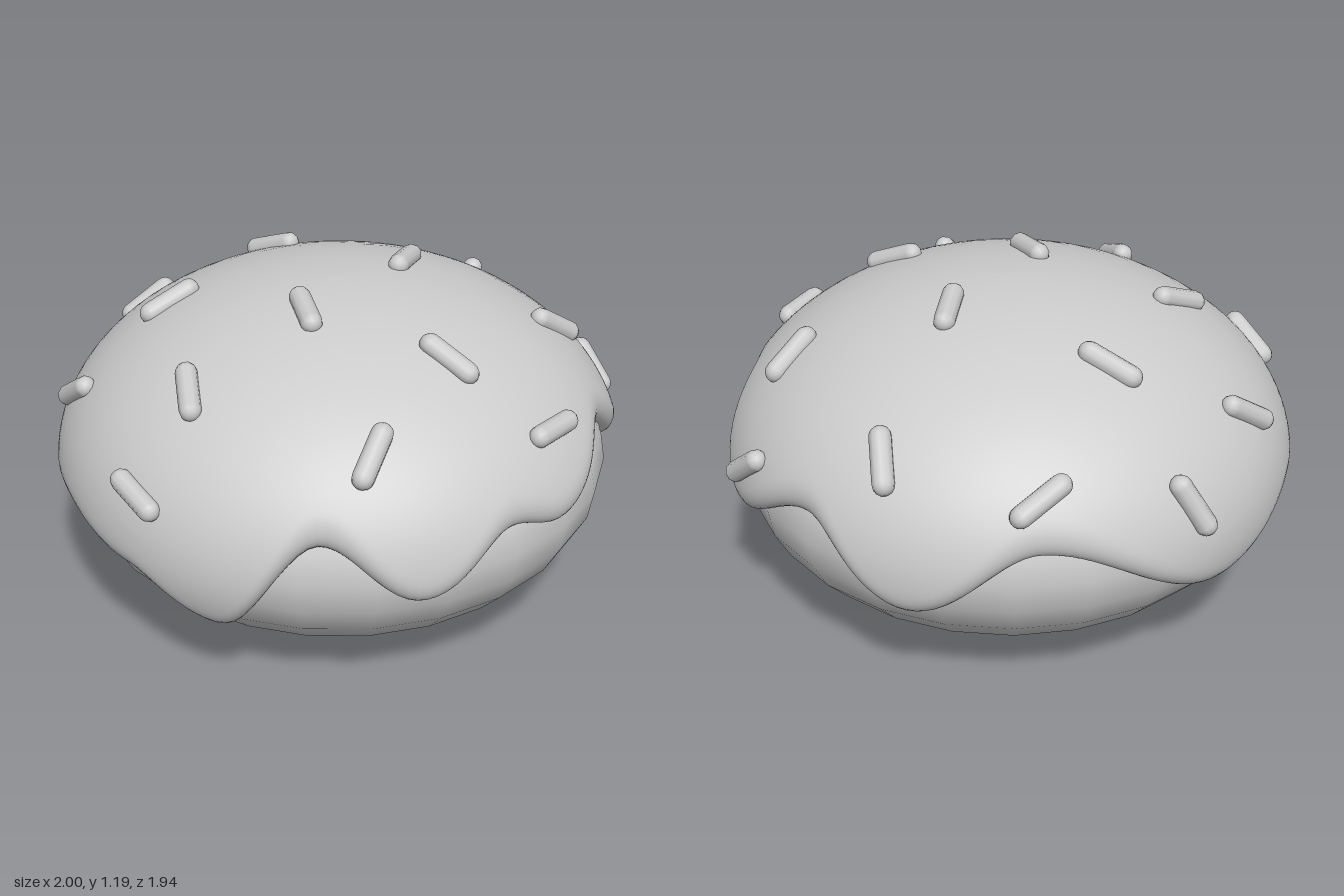
import * as THREE from 'three';

const CENTRE = new THREE.Vector3(-0.013, 0.52, -0.003);
const BODY = { r: 0.93, h: 0.52 };
const ICING = { r: 0.985, h: 0.64 };

// Drip line: [azimuth in degrees from the front towards +x, height of the edge]
const DRIPS = [
  [-32, 0.33], [-11, 0.66], [9, 0.47], [29, 0.63], [42, 0.58], [69, 0.7], [94, 0.47], [120, 0.63],
  [144, 0.41], [170, 0.63], [211, 0.38], [240, 0.49], [265, 0.46], [285, 0.49], [308, 0.45], [328, 0.33],
];

function edgeHeight(deg) {
  const i = DRIPS.findIndex((d) => d[0] > deg);
  const [a, ya] = DRIPS[i - 1];
  const [b, yb] = DRIPS[i];
  const t = (1 - Math.cos((Math.PI * (deg - a)) / (b - a))) / 2;
  return ya + (yb - ya) * t;
}

// Icing: a dome whose rim follows the drip line and rolls over into the body
function icingGeometry() {
  const around = 192, rows = 30, lip = 0.15;
  const positions = [], indices = [];
  for (let i = 0; i < around; i++) {
    const deg = -32 + (360 * i) / around;
    const az = THREE.MathUtils.degToRad(deg);
    const rim = Math.asin((edgeHeight(deg) - CENTRE.y) / BODY.h);
    for (let k = -1; k <= rows; k++) {
      const s = (Math.PI / 2 - rim) * Math.pow(Math.max(k, 0) / rows, 1.7);
      const lat = rim + s;
      // Thickness over the body: tucked under, rounded lip, then full
      const f = k < 0 ? -0.4 : s < lip ? Math.sqrt(1 - (1 - s / lip) ** 2) : 1;
      const h = lat < 0 ? 0.6 : ICING.h;
      const r = THREE.MathUtils.lerp(BODY.r, ICING.r, f) * Math.cos(lat);
      const y = THREE.MathUtils.lerp(BODY.h, h, f) * Math.sin(lat);
      positions.push(r * Math.sin(az), y, r * Math.cos(az));
    }
  }
  const n = rows + 2;
  for (let i = 0; i < around; i++) {
    const next = (i + 1) % around;
    for (let k = 0; k < n - 1; k++) {
      const a = i * n + k, b = next * n + k;
      indices.push(a, b, b + 1);
      if (k < n - 2) indices.push(a, b + 1, a + 1);
    }
  }
  const g = new THREE.BufferGeometry();
  g.setAttribute('position', new THREE.Float32BufferAttribute(positions, 3));
  g.setIndex(indices);
  g.computeVertexNormals();
  return g;
}

// Sprinkles: [x, z, direction x, direction z] seen from above
const SPRINKLES = [
  [-0.35, -0.88, 16, 8], [0.14, -0.87, 21, -5], [-0.65, -0.58, 20, -5], [-0.19, -0.53, 17, 15],
  [0.565, -0.6, -3, 18], [-0.58, -0.12, 21, -8], [0.235, -0.155, -10, 21], [0.93, -0.18, 9, 18],
  [-0.91, 0.01, 9, 16], [0.73, 0.03, 18, -9], [-0.15, 0.215, 3, 22], [-0.545, 0.43, 0.5, 21],
  [0.28, 0.455, 16, 15], [0.6, 0.58, -17, 16], [-0.73, 0.6, 12, 19], [-0.01, 0.78, -11, 16],
];

export function createModel() {
  const model = new THREE.Group();
  const material = new THREE.MeshStandardMaterial({ color: 0xcccccc });

  // Bun under the icing
  const bun = new THREE.Mesh(new THREE.SphereGeometry(1, 24, 16), material);
  bun.name = 'bun';
  bun.scale.set(BODY.r, BODY.h, BODY.r);
  bun.position.copy(CENTRE);
  model.add(bun);

  const icing = new THREE.Mesh(icingGeometry(), new THREE.MeshStandardMaterial({ color: 0xcccccc, side: THREE.DoubleSide }));
  icing.name = 'icing';
  icing.position.copy(CENTRE);
  model.add(icing);

  // Each sprinkle lies in the plane touching the icing
  const sprinkles = new THREE.Group();
  sprinkles.name = 'sprinkles';
  const capsule = new THREE.CapsuleGeometry(0.037, 0.155, 4, 10);
  const up = new THREE.Vector3(0, 1, 0);
  SPRINKLES.forEach(([x, z, dx, dz], i) => {
    const px = x - CENTRE.x, pz = z - CENTRE.z;
    const py = ICING.h * Math.sqrt(Math.max(0.02, 1 - (px * px + pz * pz) / ICING.r ** 2));
    const normal = new THREE.Vector3(px / ICING.r ** 2, py / ICING.h ** 2, pz / ICING.r ** 2).normalize();
    const dir = new THREE.Vector3(dx, -(normal.x * dx + normal.z * dz) / normal.y, dz).normalize();
    const sprinkle = new THREE.Mesh(capsule, material);
    sprinkle.name = `sprinkle${i + 1}`;
    sprinkle.position.set(px, py, pz).add(CENTRE).addScaledVector(normal, 0.006);
    sprinkle.quaternion.setFromUnitVectors(up, dir);
    sprinkles.add(sprinkle);
  });
  model.add(sprinkles);
  return model;
}
